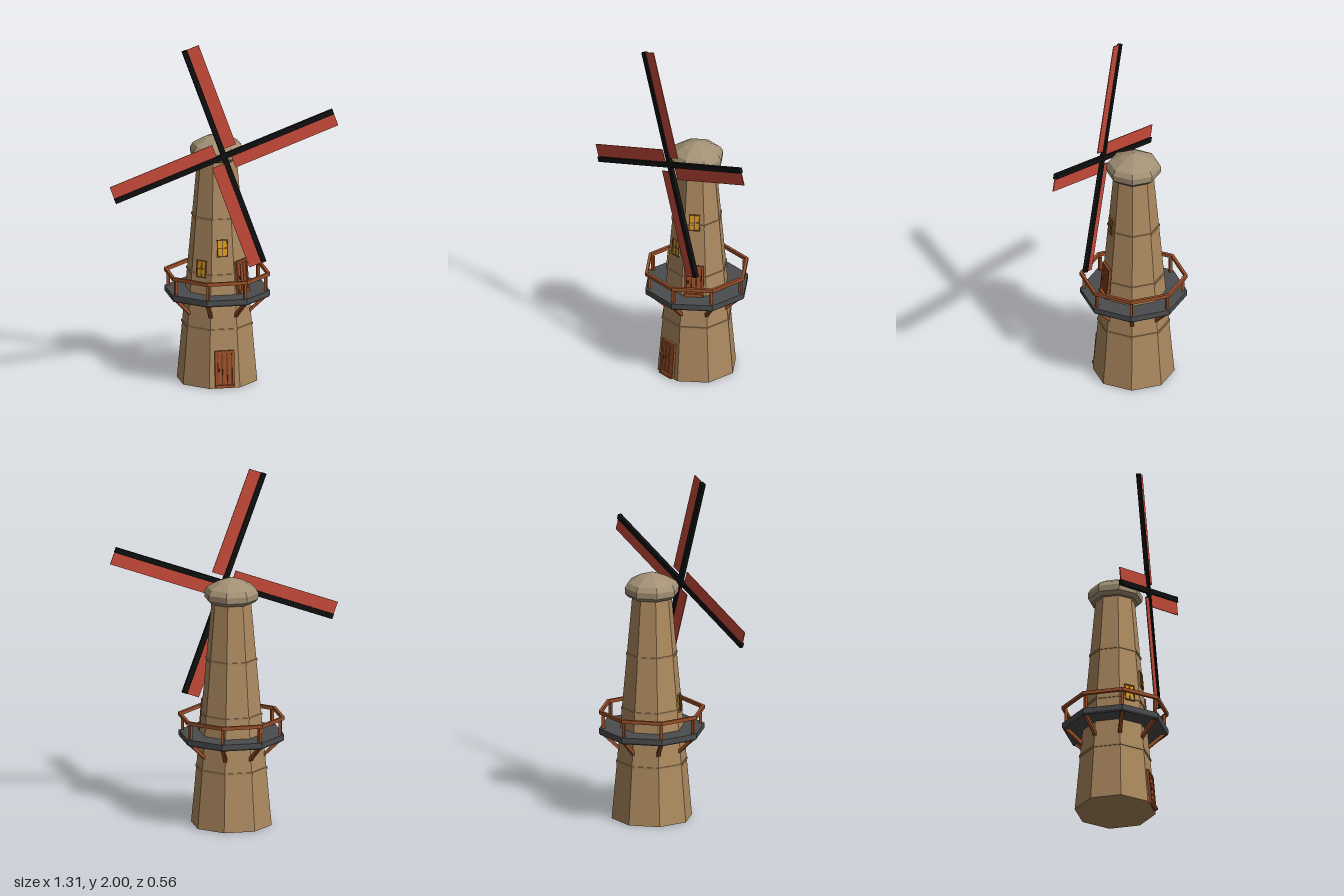
import * as THREE from 'three';

const mat = (name, color) => {
  const m = new THREE.MeshStandardMaterial({ color });
  m.name = name;
  return m;
};

export function createModel() {
  const stone = mat('tan stone', 0xad8a60);
  const capTan = mat('grey tan cap', 0xa39175);
  const wood = mat('brown wood', 0x9c5029);
  const darkWood = mat('dark wood', 0x5c2c16);
  const deckGrey = mat('deck grey', 0x4b4c4e);
  const black = mat('black spar', 0x101010);
  const red = mat('red sail', 0xc84b3a);
  const amber = mat('amber glass', 0xdf9a20);
  const frameBrown = mat('window frame', 0x7c5a2b);

  const model = new THREE.Group();
  model.name = 'windmill';

  const add = (parent, name, geo, material, x = 0, y = 0, z = 0) => {
    const mesh = new THREE.Mesh(geo, material);
    mesh.name = name;
    mesh.position.set(x, y, z);
    parent.add(mesh);
    return mesh;
  };
  const box = (parent, name, w, h, d, material, x, y, z) =>
    add(parent, name, new THREE.BoxGeometry(w, h, d), material, x, y, z);

  // Faceted eight-sided solid; profile is [distance to flat, height], bottom to top
  const C = Math.cos(Math.PI / 8);
  const octagon = (name, profile, material) => {
    const pts = profile.map(([a, y]) => new THREE.Vector2(a / C, y));
    const geo = new THREE.LatheGeometry(pts, 8, Math.PI / 8).toNonIndexed();
    geo.computeVertexNormals();
    return add(model, name, geo, material);
  };

  // Tapered tower with thin string courses
  const SLOPE = 0.084;
  const wall = (y) => 0.212 - SLOPE * y;
  octagon('tower', [[0, 0], [wall(0), 0], [wall(1.3), 1.3], [0, 1.3]], stone);
  for (const y of [0.33, 0.64, 0.955]) {
    const r = wall(y);
    octagon('stringCourse', [[r - 0.01, y - 0.006], [r + 0.005, y - 0.006], [r + 0.005, y + 0.006], [r - 0.01, y + 0.006]], stone);
  }

  // Domed cap
  octagon('cap', [[0, 1.285], [0.122, 1.285], [0.141, 1.305], [0.143, 1.34], [0.128, 1.367], [0.07, 1.402], [0, 1.427]], capTan);

  // Gallery deck and handrail
  octagon('deck', [[0, 0.49], [0.272, 0.49], [0.278, 0.5], [0.278, 0.528], [0, 0.528]], deckGrey);
  octagon('handrail', [[0.264, 0.612], [0.28, 0.612], [0.28, 0.632], [0.264, 0.632], [0.264, 0.612]], wood);

  // Posts and slanting struts on the eight corners
  for (let i = 0; i < 8; i++) {
    const corner = new THREE.Group();
    corner.name = 'galleryCorner';
    corner.rotation.y = Math.PI / 8 + (i * Math.PI) / 4;
    model.add(corner);
    box(corner, 'railPost', 0.016, 0.09, 0.016, wood, 0, 0.57, 0.278);
    const top = new THREE.Vector2(0.276, 0.495), low = new THREE.Vector2(0.178, 0.4);
    const strut = box(corner, 'strut', 0.02, top.distanceTo(low) + 0.01, 0.018, wood,
      0, (top.y + low.y) / 2, (top.x + low.x) / 2);
    strut.rotation.x = Math.atan2(top.x - low.x, top.y - low.y);
  }

  // Group lying on a sloping tower face: x across, y up the wall, z outward
  const onWall = (name, angle, y) => {
    const turn = new THREE.Group();
    turn.name = name;
    turn.rotation.y = angle;
    const face = new THREE.Group();
    face.name = name + 'Face';
    face.position.set(0, y, wall(y));
    face.rotation.x = -Math.atan(SLOPE);
    turn.add(face);
    model.add(turn);
    return face;
  };

  // Plank doors
  const door = (angle, y, h) => {
    const f = onWall('door', angle, y);
    box(f, 'doorBacking', 0.1, h, 0.008, darkWood, 0, h / 2, 0.002);
    for (const s of [-1, 1]) box(f, 'doorJamb', 0.013, h, 0.022, wood, s * 0.049, h / 2, 0.003);
    box(f, 'doorLintel', 0.111, 0.013, 0.022, wood, 0, h - 0.0065, 0.003);
    for (const s of [-1, 0, 1]) box(f, 'doorPlank', 0.022, h - 0.02, 0.012, wood, s * 0.028, h / 2 - 0.004, 0.003);
    box(f, 'doorSill', 0.1, 0.016, 0.036, wood, 0, 0.009, 0.005);
    box(f, 'doorHandle', 0.008, 0.014, 0.012, darkWood, -0.032, h * 0.48, 0.013);
  };
  door(0, 0.003, 0.212);
  door(Math.PI / 4, 0.528, 0.185);

  // Four-pane windows
  const window4 = (angle, y) => {
    const w = 0.062, h = 0.098, b = 0.006;
    const f = onWall('window', angle, y);
    box(f, 'windowGlass', w, h, 0.008, amber, 0, 0, 0.001);
    for (const s of [-1, 0, 1]) {
      const d = s === 0 ? 0.014 : 0.018;
      box(f, 'windowUpright', b, h, d, frameBrown, s * (w - b) / 2, 0, 0.001);
      box(f, 'windowRail', w, b, d, frameBrown, 0, s * (h - b) / 2, 0.001);
    }
  };
  window4(0, 0.795);
  window4(-Math.PI / 4, 0.672);
  window4(Math.PI / 4, 0.975);

  // Four sails turned a little anticlockwise
  const sails = new THREE.Group();
  sails.name = 'sails';
  sails.position.set(0, 1.342, 0.193);
  sails.rotation.z = THREE.MathUtils.degToRad(20);
  model.add(sails);
  const L = 0.664;
  box(sails, 'uprightSpar', 0.03, 2 * L, 0.022, black, 0, 0, 0);
  box(sails, 'crossSpar', 2 * L, 0.03, 0.021, black, 0, 0, 0);
  for (let i = 0; i < 4; i++) {
    const arm = new THREE.Group();
    arm.name = 'sailArm';
    arm.rotation.z = (i * Math.PI) / 2;
    sails.add(arm);
    box(arm, 'sailBlade', 0.077, L - 0.04, 0.005, red, 0.0485, (L + 0.04) / 2, 0);
  }
  return model;
}
